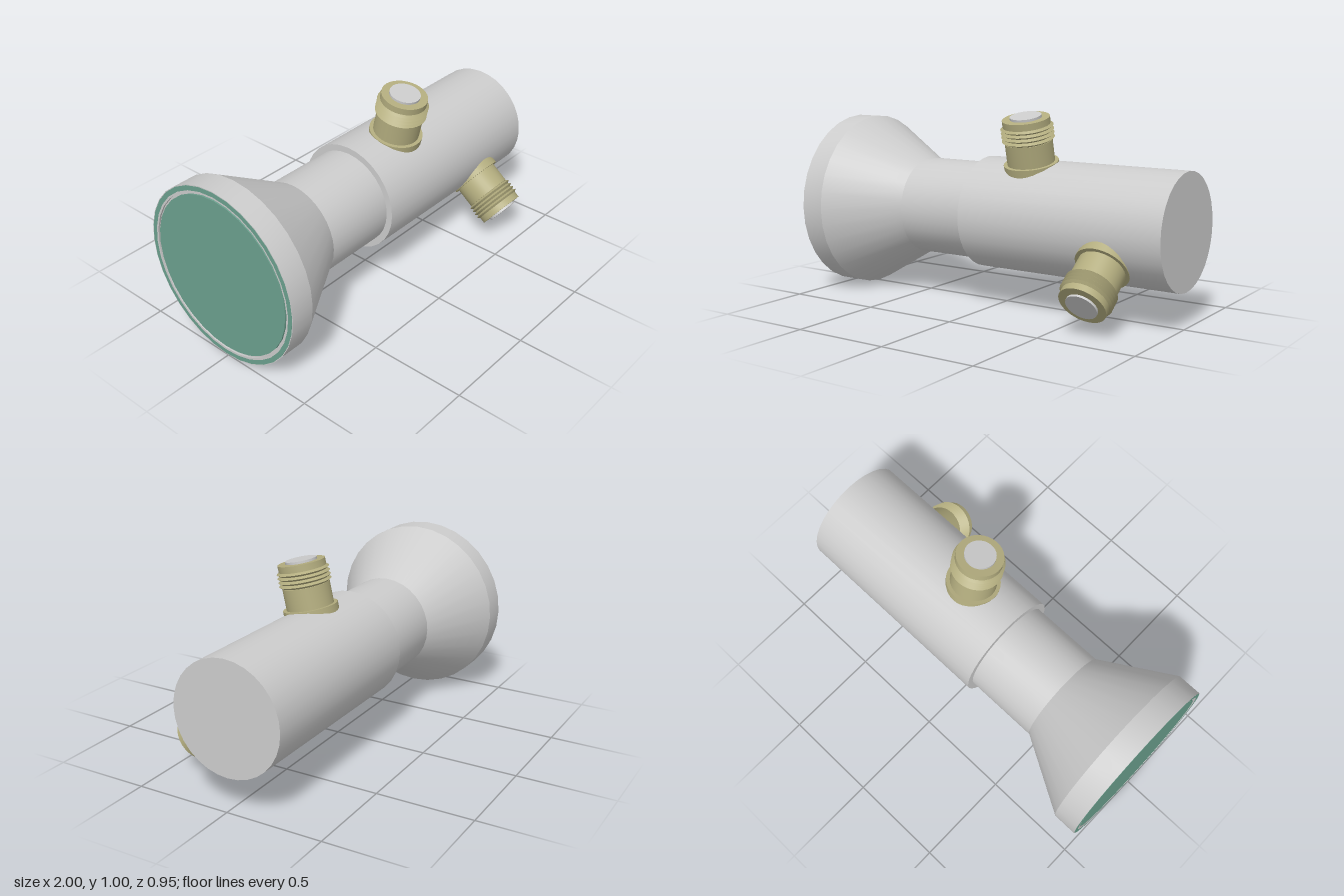
import * as THREE from 'three';
import { toCreasedNormals } from 'three/addons/utils/BufferGeometryUtils.js';

const AXIS_Y = 0.465, AXIS_Z = -0.012;
const grey = new THREE.MeshStandardMaterial({ color: 0xcccccc });
const olive = new THREE.MeshStandardMaterial({ color: 0xb3ad7f });
const green = new THREE.MeshStandardMaterial({ color: 0x6ca08e });

// Turned part from [radius, height] pairs, with sharp edges kept
function turned(name, profile, material) {
  const points = profile.map(([r, h]) => new THREE.Vector2(r, h));
  const geometry = toCreasedNormals(new THREE.LatheGeometry(points, 32), 0.4);
  const mesh = new THREE.Mesh(geometry, material);
  mesh.name = name;
  return mesh;
}

// Threaded connector pointing radially out of the body
function connector(name, x, degrees, offset) {
  const threads = [];
  for (let i = 0; i < 4; i++) {
    const h = 0.411 + i * 0.0203;
    threads.push([0.117, h - 0.01], [0.132, h]);
  }
  const port = new THREE.Group();
  port.name = name;
  port.add(
    turned('connectorFlange', [[0, 0.22], [0.138, 0.22], [0.138, 0.289], [0, 0.289]], olive),
    turned('connectorBarrel', [
      [0, 0.25], [0.119, 0.25], [0.119, 0.4], ...threads,
      [0.119, 0.482], [0.119, 0.516], [0, 0.516],
    ], olive),
    turned('connectorCore', [[0, 0.5], [0.079, 0.5], [0.079, 0.528], [0, 0.528]], grey),
  );
  const a = THREE.MathUtils.degToRad(degrees);
  port.rotation.x = a;
  port.position.set(x, AXIS_Y - Math.sin(a) * offset, AXIS_Z + Math.cos(a) * offset);
  return port;
}

export function createModel() {
  const model = new THREE.Group();
  model.name = 'hornFeed';

  // Parts turned about the long axis, height running along +x
  const tube = new THREE.Group();
  tube.name = 'waveguide';
  tube.rotation.z = -Math.PI / 2;
  tube.position.set(0, AXIS_Y, AXIS_Z);
  tube.add(
    turned('horn', [[0, -0.99], [0.425, -0.99], [0.425, -1], [0.463, -1], [0.463, -0.875],
      [0.253, -0.505], [0, -0.505]], grey),
    turned('neck', [[0.253, -0.505], [0.253, -0.1]], grey),
    turned('body', [[0, -0.115], [0.287, -0.115], [0.287, 1], [0, 1]], grey),
    turned('apertureWindow', [[0, -0.999], [0.415, -0.999], [0.415, -0.985], [0, -0.985]], green),
    turned('apertureRim', [[0.435, -1.001], [0.459, -1.001], [0.459, -0.99], [0.435, -0.99]], green),
  );
  model.add(tube);

  // Two connectors around the body
  model.add(connector('topConnector', 0.18, 13, 0));
  model.add(connector('lowerConnector', 0.68, 127.5, -0.01));
  return model;
}
